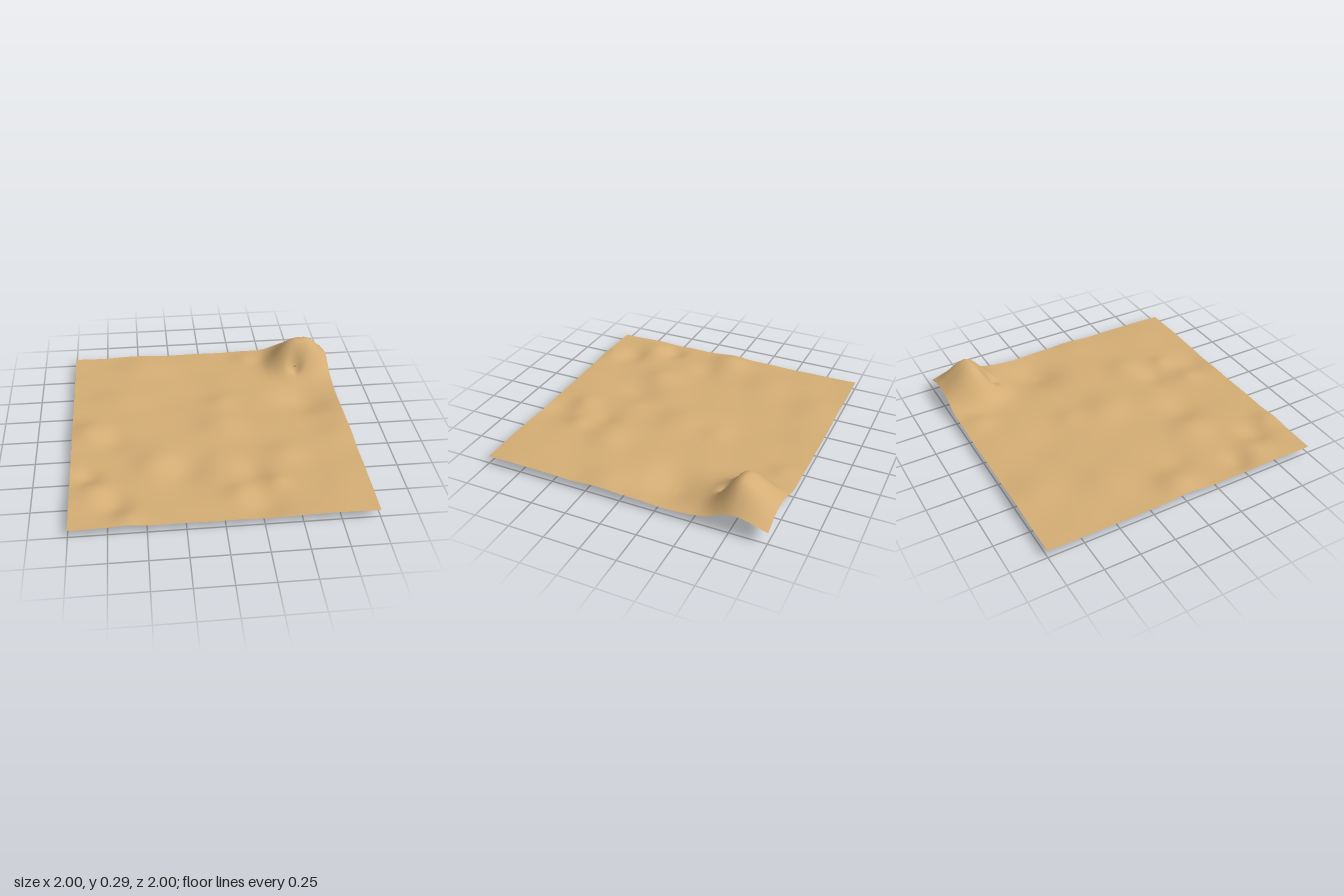
import * as THREE from 'three';

const BASE = 0.055;

// Gentle dunes and hollows: x, z, radius, height
const DUNES = [
  [-0.88, 0.00, 0.13, 0.032], [-0.43, 0.40, 0.14, 0.034], [0.03, 0.36, 0.13, 0.012],
  [0.06, -0.02, 0.16, 0.026], [0.10, -0.30, 0.10, 0.015], [0.47, 0.38, 0.13, 0.022],
  [-0.84, 0.64, 0.11, 0.022], [-0.70, 0.77, 0.10, -0.026], [-0.88, 0.49, 0.09, -0.026],
  [-0.20, 0.48, 0.14, -0.028], [0.24, 0.52, 0.10, -0.020], [0.27, 0.88, 0.12, -0.022],
  [0.12, 0.75, 0.09, 0.018], [0.75, -0.28, 0.19, -0.055], [-0.50, -0.85, 0.18, 0.018],
  [-0.65, -0.40, 0.20, 0.015], [0.36, -0.88, 0.10, 0.020], [-0.70, 0.12, 0.10, -0.014],
  [0.80, 0.75, 0.15, 0.014], [-0.62, 0.93, 0.09, 0.020], [0.90, 0.15, 0.13, 0.015],
  [0.38, 0.66, 0.08, 0.018], [-0.10, -0.55, 0.20, -0.012],
  [0.73, -0.63, 0.05, -0.055], // notch in the hill around the outcrop
];

// One flank profile: 1 at the summit, falling to 0
const flank = (d, width, power) => Math.exp(-Math.pow(Math.abs(d) / width, power));

function heightAt(x, z) {
  const dx = x - 0.82, dz = z + 0.77;
  const hill = 0.238
    * (dx < 0 ? flank(dx, 0.242, 3.2) : flank(dx, 0.176, 2))
    * (dz > 0 ? flank(dz, 0.157, 1.94) : flank(dz, 0.224, 1.8));
  let y = BASE + hill;
  for (const [cx, cz, r, h] of DUNES) {
    y += h * Math.exp(-((x - cx) ** 2 + (z - cz) ** 2) / (r * r));
  }
  // Fine wind ripples
  y += 0.003 * Math.sin(9 * x + 5 * z) * Math.sin(13 * z - 4 * x + 1);
  return Math.max(0, y);
}

export function createModel() {
  const model = new THREE.Group();
  model.name = 'desertTerrain';
  const sand = new THREE.MeshStandardMaterial({ color: 0xd4ad74, side: THREE.DoubleSide });
  sand.name = 'sand';

  // Ground sheet with the corner hill
  const ground = new THREE.PlaneGeometry(2, 2, 140, 140).rotateX(-Math.PI / 2);
  const pos = ground.attributes.position;
  for (let i = 0; i < pos.count; i++) pos.setY(i, heightAt(pos.getX(i), pos.getZ(i)));
  ground.computeVertexNormals();
  const terrain = new THREE.Mesh(ground, sand);
  terrain.name = 'terrain';
  model.add(terrain);

  // Small rock outcrop running into the hill
  const outcrop = new THREE.Group();
  outcrop.name = 'outcrop';
  const block = (name, w, h, d, x, y, z) => {
    const mesh = new THREE.Mesh(new THREE.BoxGeometry(w, h, d), sand);
    mesh.name = name;
    mesh.position.set(x, y, z);
    outcrop.add(mesh);
  };
  block('outcropRoot', 0.018, 0.03, 0.07, 0.73, 0.085, -0.675);
  block('outcropPost', 0.016, 0.05, 0.016, 0.73, 0.09, -0.65);
  block('outcropCap', 0.024, 0.02, 0.024, 0.73, 0.12, -0.65);
  model.add(outcrop);

  return model;
}
